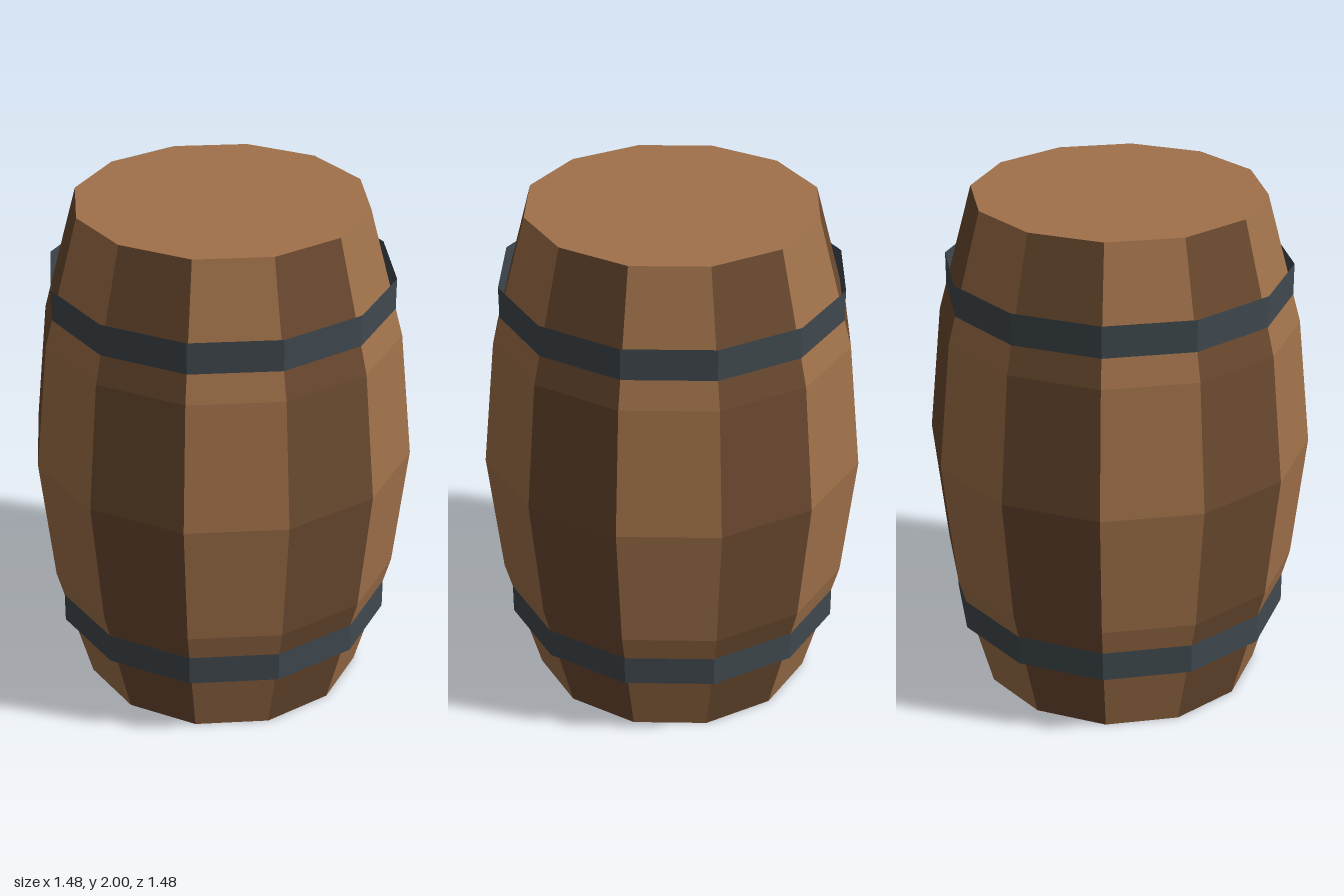
import * as THREE from 'three';

const SIDES = 12;
const STEP = (Math.PI * 2) / SIDES;

// Separate every face so that it gets its own flat normal
function faceted(geometry) {
  const flat = geometry.toNonIndexed();
  flat.computeVertexNormals();
  return flat;
}

export function createModel() {
  const lightWood = new THREE.MeshStandardMaterial({ color: 0xa0714a });
  lightWood.name = 'light wood';
  const darkWood = new THREE.MeshStandardMaterial({ color: 0x6b4a30 });
  darkWood.name = 'dark wood';
  const iron = new THREE.MeshStandardMaterial({ color: 0x40494f, side: THREE.DoubleSide });
  iron.name = 'iron';

  const barrel = new THREE.Group();
  barrel.name = 'barrel';
  const add = (name, geometry, material, y = 0) => {
    const mesh = new THREE.Mesh(geometry, material);
    mesh.name = name;
    mesh.position.y = y;
    barrel.add(mesh);
    return mesh;
  };

  // Bulging staves in alternating wood tones
  const profile = [[0.555, 0], [0.69, 0.5], [0.742, 1], [0.69, 1.5], [0.555, 2]]
    .map(([r, y]) => new THREE.Vector2(r, y));
  for (let i = 0; i < SIDES; i++) {
    const stave = new THREE.LatheGeometry(profile, 1, i * STEP, STEP);
    add('stave' + (i + 1), faceted(stave), i % 2 ? lightWood : darkWood);
  }

  // Flat lid and base
  const disc = new THREE.CircleGeometry(0.555, SIDES);
  add('lid', disc, lightWood, 2).rotation.x = -Math.PI / 2;
  add('base', disc, lightWood, 0).rotation.x = Math.PI / 2;

  // Straight open iron hoops
  const hoop = faceted(new THREE.CylinderGeometry(0.661, 0.661, 0.125, SIDES, 1, true));
  add('lowerHoop', hoop, iron, 0.337);
  add('upperHoop', hoop, iron, 1.667);

  return barrel;
}
